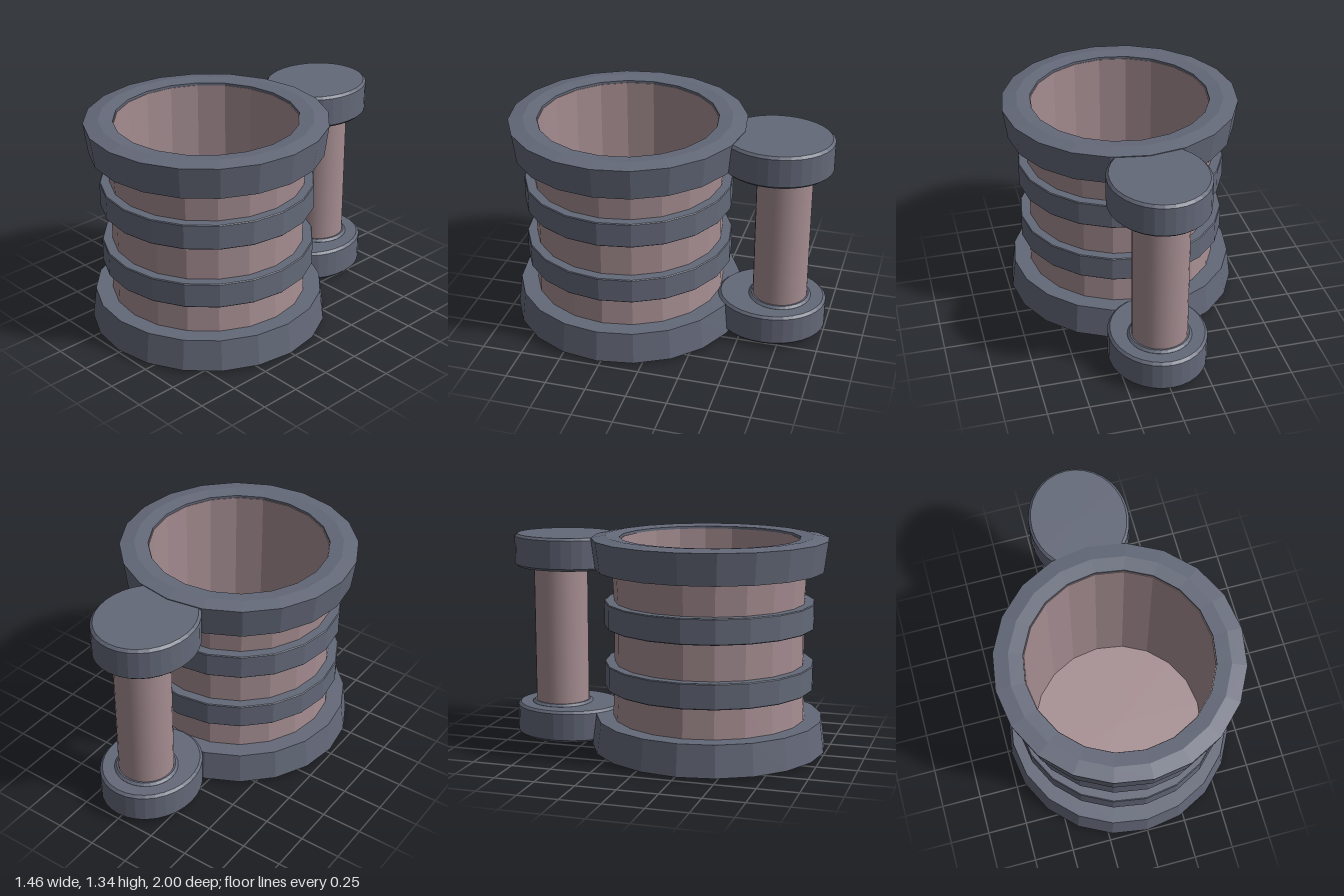
import * as THREE from 'three';

const SIDES = 20;      // facets of the barrel
const BODY_Z = 0.27;   // barrel axis

const pink = { color: 0xa58d91 };
const slate = { color: 0x646979 };
const flat = (c) => new THREE.MeshStandardMaterial({ ...c, flatShading: true });
const smooth = (c) => new THREE.MeshStandardMaterial(c);

// Spin a profile of [radius, height] pairs; outside runs upward
function spin(name, profile, sides, material, z) {
  const points = profile.map(([r, y]) => new THREE.Vector2(r, y));
  const mesh = new THREE.Mesh(new THREE.LatheGeometry(points, sides), material);
  mesh.name = name;
  mesh.position.z = z;
  return mesh;
}

export function createModel() {
  const group = new THREE.Group();
  group.name = 'mug';
  const barrelMat = flat(pink);
  const bandMat = flat(slate);

  // Hollow barrel: underside, slightly waisted outside, then inside wall and floor
  group.add(spin('barrel', [
    [0, 0.005], [0.64, 0.005], [0.605, 0.12], [0.588, 0.42], [0.588, 0.9],
    [0.605, 1.2], [0.6, 1.3], [0.55, 1.31], [0.55, 0.06], [0, 0.06],
  ], SIDES, barrelMat, BODY_Z));

  // Flared base and rim
  group.add(spin('baseBand', [
    [0.56, 0.012], [0.63, 0.012], [0.635, 0], [0.73, 0.016], [0.705, 0.21], [0.58, 0.21],
  ], SIDES, bandMat, BODY_Z));
  group.add(spin('rimBand', [
    [0.58, 1.13], [0.705, 1.13], [0.73, 1.32], [0.64, 1.335], [0.555, 1.325], [0.555, 1.29],
  ], SIDES, bandMat, BODY_Z));

  // Two hoops around the barrel
  for (const [name, y] of [['lowerHoop', 0.4], ['upperHoop', 0.78]]) {
    group.add(spin(name, [
      [0.57, y], [0.645, y], [0.65, y + 0.005], [0.65, y + 0.15], [0.645, y + 0.155], [0.57, y + 0.155],
    ], SIDES, bandMat, BODY_Z));
  }

  // Oval bevelled brackets joining handle to barrel
  for (const [name, y, h] of [['lowerBracket', 0.025, 0.2], ['upperBracket', 1.11, 0.205]]) {
    const bracket = spin(name, [
      [0, 0], [0.285, 0], [0.3, 0.015], [0.3, h - 0.015], [0.285, h], [0, h],
    ], 32, bandMat, -0.66);
    bracket.position.y = y;
    bracket.scale.z = 0.34 / 0.3;
    group.add(bracket);
  }

  // Round grip and its collar
  const grip = new THREE.Mesh(new THREE.CylinderGeometry(0.17, 0.17, 0.9, 32, 1, true), smooth(pink));
  grip.name = 'grip';
  grip.position.set(0, 0.65, -0.71);
  group.add(grip);
  group.add(spin('gripTop', [[0.15, 1.1], [0.16, 1.1], [0.16, 1.13]], 32, bandMat, -0.71));
  group.add(spin('gripCollar', [[0.195, 0.2], [0.195, 0.226], [0.18, 0.24], [0.16, 0.24]], 32, bandMat, -0.71));

  return group;
}
